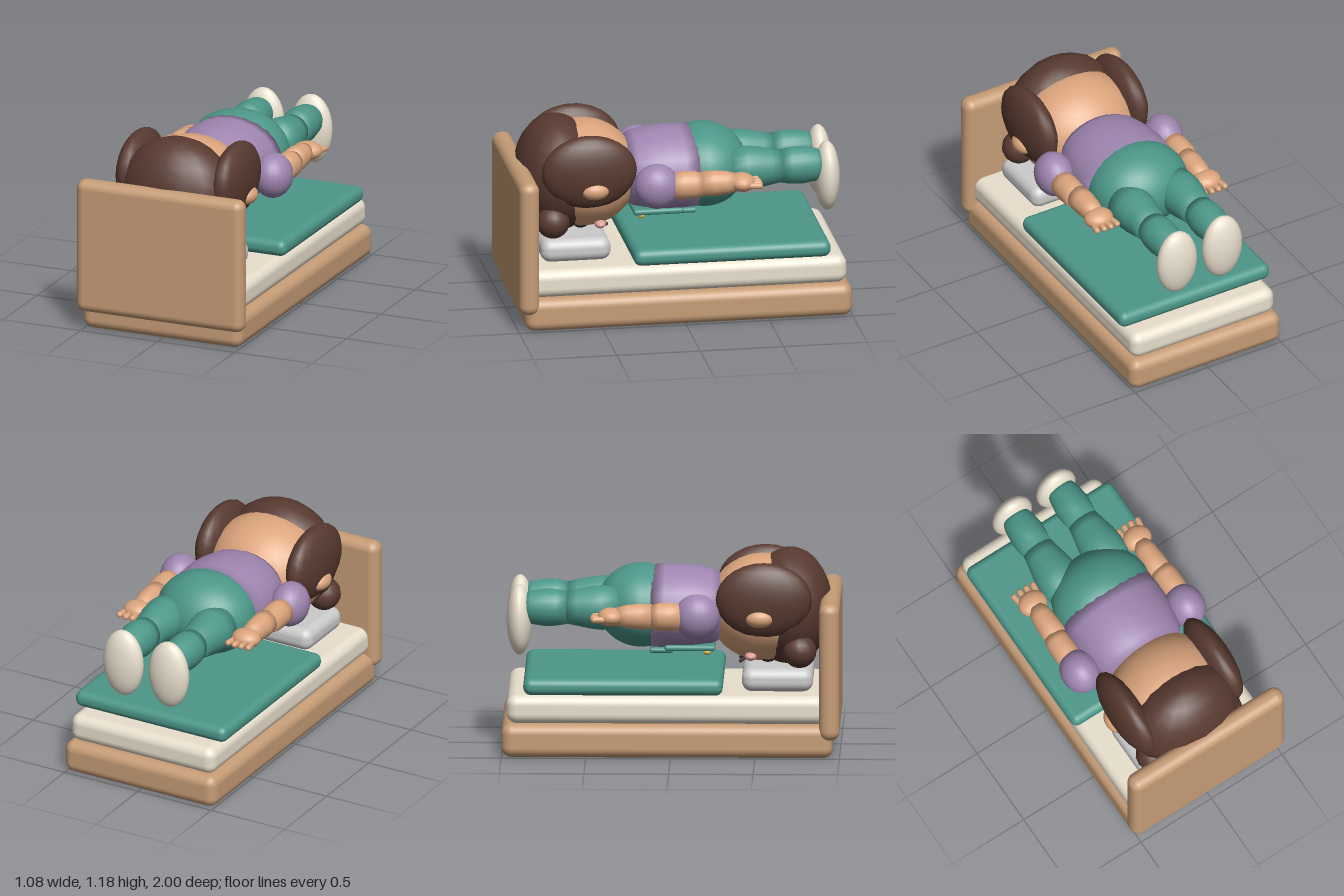
import * as THREE from 'three';
import { RoundedBoxGeometry } from 'three/addons/geometries/RoundedBoxGeometry.js';

const mat = (color) => new THREE.MeshStandardMaterial({ color });

export function createModel() {
  const model = new THREE.Group();
  const wood = mat(0xc69c76), cream = mat(0xe8dfcd), white = mat(0xeeeeec), teal = mat(0x4c9789);
  const skin = mat(0xdca57d), hair = mat(0x583a30), purple = mat(0x9f86b0);
  const gold = mat(0xd8b040), pink = mat(0xe0a09a), dark = mat(0x33231f);

  const add = (name, geometry, material, x, y, z) => {
    const mesh = new THREE.Mesh(geometry, material);
    mesh.name = name;
    mesh.position.set(x, y, z);
    model.add(mesh);
    return mesh;
  };
  // rounded box given by its extents along y and z, centred on x
  const slab = (name, material, width, y0, y1, z0, z1, radius) =>
    add(name, new RoundedBoxGeometry(width, y1 - y0, z1 - z0, 4, radius), material, 0, (y0 + y1) / 2, (z0 + z1) / 2);
  const blob = (name, material, x, y, z, rx, ry, rz, w = 20, h = 14) => {
    const mesh = add(name, new THREE.SphereGeometry(1, w, h), material, x, y, z);
    mesh.scale.set(rx, ry, rz);
    return mesh;
  };
  // round body lying along z; profile is [radius, z] with z rising
  const limb = (name, material, x, y, profile, flat = 1) => {
    const points = profile.map(([r, z]) => new THREE.Vector2(r, z));
    const mesh = add(name, new THREE.LatheGeometry(points, 24), material, x, y, 0);
    mesh.rotation.x = Math.PI / 2;
    mesh.scale.z = flat;
    return mesh;
  };

  // Bed
  slab('bedBase', wood, 1.03, 0, 0.2, -1, 0.96, 0.06);
  slab('headboard', wood, 1.08, 0.11, 0.93, 0.88, 1, 0.055);
  slab('mattress', cream, 0.98, 0.2, 0.37, -0.97, 0.93, 0.06);
  slab('blanket', teal, 1.03, 0.375, 0.475, -0.87, 0.31, 0.045);
  slab('pillow', white, 0.7, 0.37, 0.51, 0.42, 0.84, 0.06);

  // Torso, lying face down
  limb('shirt', purple, 0, 0.83, [
    [0, -0.12], [0.307, -0.12], [0.313, -0.04], [0.314, 0.05], [0.305, 0.14], [0.28, 0.24], [0.24, 0.3], [0, 0.32],
  ], 0.785);
  blob('trouserSeat', teal, 0, 0.835, -0.18, 0.31, 0.248, 0.265, 28, 20);
  slab('bib', teal, 0.36, 0.585, 0.62, -0.04, 0.26, 0.016);
  slab('bibPocket', teal, 0.2, 0.56, 0.59, -0.13, 0.01, 0.014);

  // Head and hair
  blob('head', skin, 0, 0.825, 0.54, 0.365, 0.317, 0.33, 28, 20);
  blob('hairCap', hair, 0, 0.832, 0.7, 0.36, 0.349, 0.25, 16, 14);
  blob('nose', skin, 0, 0.51, 0.48, 0.03, 0.02, 0.025);
  const smile = add('mouth', new THREE.TorusGeometry(0.06, 0.01, 8, 16, Math.PI), dark, 0, 0.505, 0.4);
  smile.rotation.x = -Math.PI / 2 - 0.55;
  smile.rotation.x += Math.PI;

  for (const side of [-1, 1]) {
    // Face and hair pairs
    blob('sideHair', hair, side * 0.31, 0.92, 0.55, 0.1, 0.223, 0.285, 20, 14);
    blob('frontCurl', hair, side * 0.26, 0.605, 0.76, 0.1, 0.1, 0.1, 16, 12);
    blob('ear', skin, side * 0.37, 0.82, 0.525, 0.06, 0.055, 0.085);
    blob('eye', dark, side * 0.12, 0.535, 0.57, 0.03, 0.02, 0.04);
    blob('cheek', pink, side * 0.22, 0.565, 0.47, 0.05, 0.025, 0.035);
    blob('bibButton', gold, side * 0.14, 0.575, 0.21, 0.022, 0.016, 0.022);

    // Arm
    const x = side * 0.375;
    blob('puffSleeve', purple, x, 0.83, 0.155, 0.115, 0.135, 0.135);
    limb('upperArm', skin, x + side * 0.005, 0.83, [[0, -0.115], [0.065, -0.115], [0.076, -0.07], [0.078, 0], [0.07, 0.08], [0, 0.08]], 1.08);
    limb('forearm', skin, x - side * 0.005, 0.83, [[0, -0.32], [0.052, -0.32], [0.066, -0.26], [0.073, -0.18], [0.07, -0.11], [0, -0.1]], 1.05);
    blob('palm', skin, x - side * 0.005, 0.828, -0.355, 0.09, 0.055, 0.078);
    for (let i = 0; i < 4; i++) {
      const spread = i - 1.5;
      const finger = add('finger', new THREE.CapsuleGeometry(0.019, 0.07, 4, 10), skin,
        x - side * 0.005 + spread * 0.042, 0.82, -0.425 + Math.abs(spread) * 0.005);
      finger.rotation.set(Math.PI / 2, 0, spread * 0.1);
    }
    const thumb = add('thumb', new THREE.CapsuleGeometry(0.02, 0.05, 4, 10), skin, x - side * 0.05, 0.79, -0.37);
    thumb.rotation.x = Math.PI / 2;

    // Leg and shoe
    limb('thigh', teal, side * 0.16, 0.845, [
      [0, -0.63], [0.095, -0.625], [0.108, -0.56], [0.125, -0.48], [0.133, -0.41], [0.125, -0.32], [0, -0.24],
    ]);
    limb('shin', teal, side * 0.16, 0.845, [
      [0, -0.88], [0.075, -0.88], [0.095, -0.83], [0.108, -0.74], [0.105, -0.68], [0.095, -0.62], [0, -0.6],
    ], 1.04);
    blob('shoe', cream, side * 0.155, 0.772, -0.9, 0.132, 0.212, 0.075);
  }
  return model;
}
